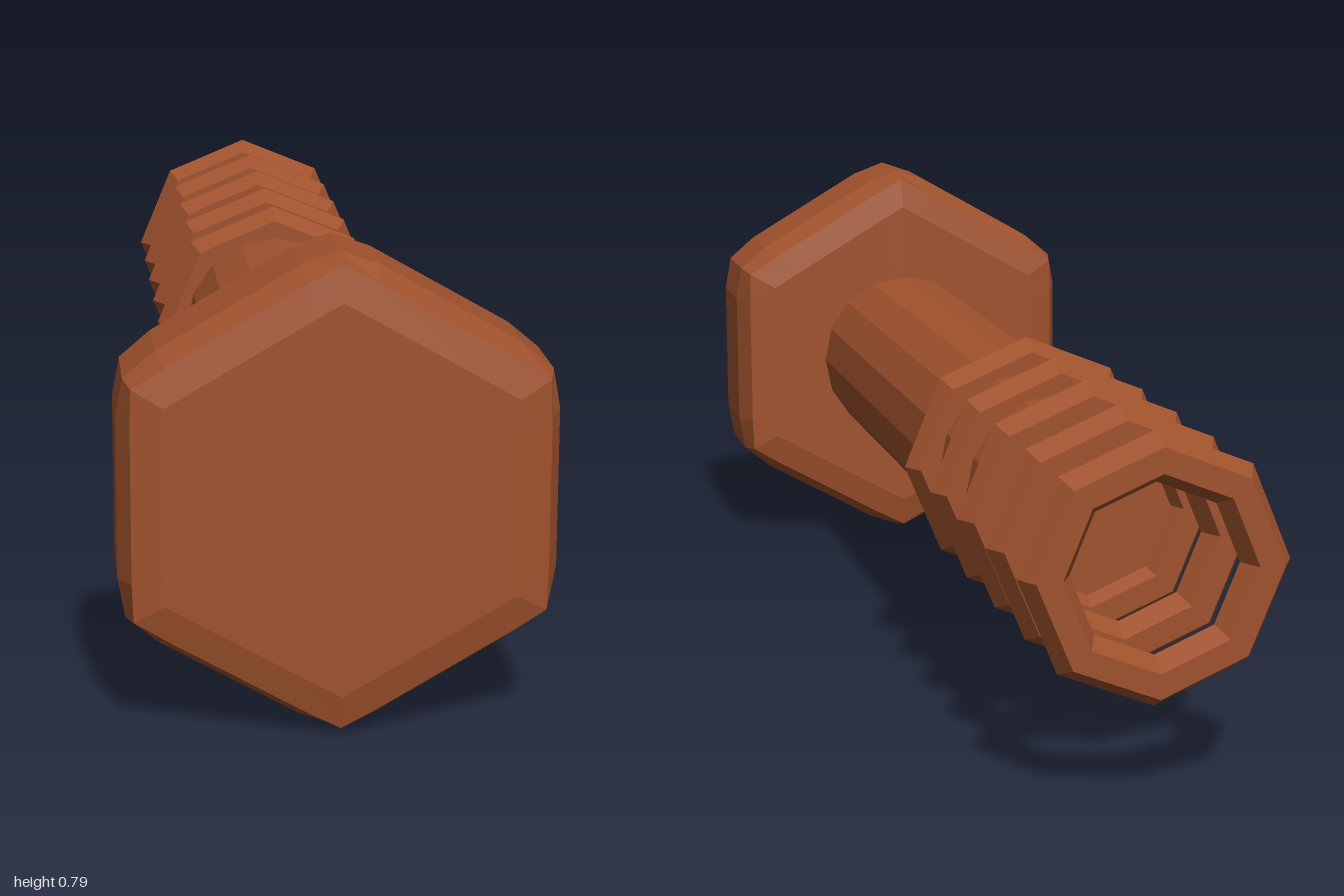
import * as THREE from 'three';

const CY = 0.4; // height of the bolt's axis

// One hexagonal loop: corner radius, half width across flats, depth
function hexLoop(corner, apothem, z) {
  const points = [];
  const half = corner / 3; // half length of the flat between two corners
  for (let i = 0; i < 6; i++) {
    const a = Math.PI / 2 + (i * Math.PI) / 3;
    points.push(new THREE.Vector3(corner * Math.cos(a), corner * Math.sin(a), z));
    const m = a + Math.PI / 6;
    for (const t of [-half, half]) {
      points.push(new THREE.Vector3(
        apothem * Math.cos(m) - t * Math.sin(m),
        apothem * Math.sin(m) + t * Math.cos(m), z));
    }
  }
  return points;
}

// Skin a stack of loops, ordered front to back, and cap both ends
function skin(loops) {
  const pos = [];
  const tri = (...p) => p.forEach((v) => pos.push(v.x, v.y, v.z));
  const n = loops[0].length;
  for (let k = 0; k < loops.length - 1; k++) {
    const f = loops[k], b = loops[k + 1];
    for (let i = 0; i < n; i++) {
      const j = (i + 1) % n;
      tri(f[i], b[i], b[j]);
      tri(f[i], b[j], f[j]);
    }
  }
  const first = loops[0], last = loops[loops.length - 1];
  const c0 = new THREE.Vector3(0, 0, first[0].z);
  const c1 = new THREE.Vector3(0, 0, last[0].z);
  for (let i = 0; i < n; i++) {
    const j = (i + 1) % n;
    tri(c0, first[i], first[j]);
    tri(c1, last[j], last[i]);
  }
  const g = new THREE.BufferGeometry();
  g.setAttribute('position', new THREE.Float32BufferAttribute(pos, 3));
  g.computeVertexNormals();
  return g;
}

export function createModel() {
  const group = new THREE.Group();
  group.name = 'bolt';
  const rust = new THREE.MeshStandardMaterial({ color: 0xa0522d, flatShading: true });
  rust.name = 'rust brown';

  const add = (name, geometry, z) => {
    const mesh = new THREE.Mesh(geometry, rust);
    mesh.name = name;
    mesh.position.set(0, CY, z);
    group.add(mesh);
  };

  // Softened hexagonal head
  const rings = [
    [0.325, 0.282, 1.0], [0.383, 0.334, 0.987], [0.396, 0.355, 0.94],
    [0.396, 0.355, 0.805], [0.383, 0.334, 0.758], [0.325, 0.282, 0.745],
  ];
  add('head', skin(rings.map((r) => hexLoop(...r))), 0);

  // Shaft
  const shaft = new THREE.CylinderGeometry(0.174, 0.174, 1.4, 16);
  shaft.rotateX(Math.PI / 2);
  add('shaft', shaft, 0.1);

  // Thread rings, the last two beyond the end of the shaft
  const thread = new THREE.TorusGeometry(0.187, 0.0433, 6, 8);
  for (let i = 0; i < 5; i++) add('threadRing' + (i + 1), thread, -0.2145 - i * 0.187);

  return group;
}
